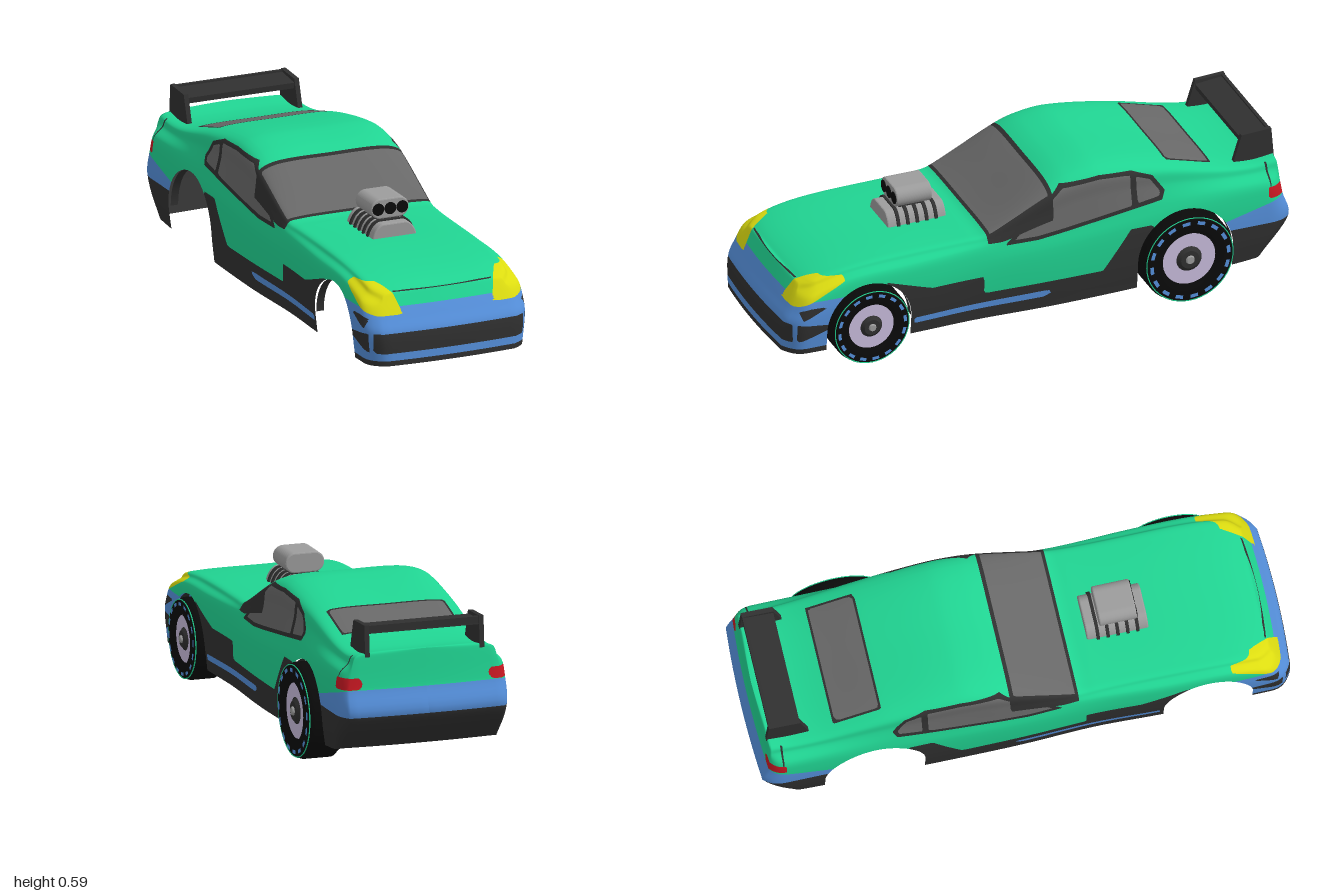
import * as THREE from 'three';

const GREEN = 0x20d492, BLUE = 0x5590dc, DARK = 0x303030, BLACK = 0x0a0a0a, GLASS = 0x686868;
const RED = 0xc81822, YELLOW = 0xdcdc10, METAL = 0x9c9c9c, RIM = 0xc8bcdc;
const paint = (color) => new THREE.MeshStandardMaterial({ color, side: THREE.DoubleSide });

function add(parent, name, geo, color, x = 0, y = 0, z = 0) {
  const m = new THREE.Mesh(geo, paint(color));
  m.name = name;
  m.position.set(x, y, z);
  parent.add(m);
  return m;
}

// smooth curve through [position, value] pairs in rising order
function spline(p) {
  const slope = (i) => {
    const a = p[Math.max(0, i - 1)], b = p[Math.min(p.length - 1, i + 1)];
    return (b[1] - a[1]) / (b[0] - a[0]);
  };
  return (x) => {
    x = Math.min(Math.max(x, p[0][0]), p[p.length - 1][0]);
    let i = 0;
    while (i < p.length - 2 && x > p[i + 1][0]) i++;
    const h = p[i + 1][0] - p[i][0], t = (x - p[i][0]) / h, t2 = t * t, t3 = t2 * t;
    return (2 * t3 - 3 * t2 + 1) * p[i][1] + (t3 - 2 * t2 + t) * h * slope(i)
      + (3 * t2 - 2 * t3) * p[i + 1][1] + (t3 - t2) * h * slope(i + 1);
  };
}

// signed distance to a (z, y) polygon on the car's sides, negative inside
function sidePoly(...pts) {
  return (x, y, z) => {
    let d = Infinity, s = 1;
    pts.forEach(([z1, y1], i) => {
      const [z2, y2] = pts[(i + 1) % pts.length], ez = z2 - z1, ey = y2 - y1;
      const t = Math.min(1, Math.max(0, ((z - z1) * ez + (y - y1) * ey) / (ez * ez + ey * ey)));
      d = Math.min(d, Math.hypot(z - z1 - t * ez, y - y1 - t * ey));
      if ((y1 > y) !== (y2 > y) && z < z1 + (y - y1) / ey * ez) s = -s;
    });
    return Math.max(s * d, .2 - x);
  };
}

const box = (x0, x1, y0, y1, z0, z1) => (x, y, z) => Math.max(x0 - x, x - x1, y0 - y, y - y1, z0 - z, z - z1);

// cut triangles along f(|x|, y, z) = 0
function split(tris, f) {
  const inside = [], outside = [];
  for (const t of tris) {
    const d = t.map((v) => f(Math.abs(v[0]), v[1], v[2]));
    if (d.every((k) => k < 0)) { inside.push(t); continue; }
    if (d.every((k) => k >= 0)) { outside.push(t); continue; }
    for (const [list, sign] of [[inside, -1], [outside, 1]]) {
      const p = [];
      for (let i = 0; i < 3; i++) {
        const j = (i + 1) % 3;
        if ((d[i] < 0) === (sign < 0)) p.push(t[i]);
        if ((d[i] < 0) !== (d[j] < 0)) {
          const k = d[i] / (d[i] - d[j]);
          p.push(t[i].map((c, n) => c + (t[j][n] - c) * k));
        }
      }
      for (let i = 1; i < p.length - 1; i++) list.push([p[0], p[i], p[i + 1]]);
    }
  }
  return [inside, outside];
}

function soup(tris) {
  const v = tris.flat(), g = new THREE.BufferGeometry();
  g.setAttribute('position', new THREE.Float32BufferAttribute(v.flatMap((p) => p.slice(0, 3)), 3));
  g.setAttribute('normal', new THREE.Float32BufferAttribute(v.flatMap((p) => p.slice(3)), 3));
  return g;
}

// body skin: cross-sections from nose to tail with closed ends
function bodyTriangles() {
  const top = spline([[-1, .478], [-.88, .468], [-.75, .483], [-.5, .55], [-.26, .59], [-.14, .578], [-.06, .548],
    [.19, .408], [.26, .4], [.6, .393], [.8, .375], [1, .337]]);
  const shoulder = spline([[-1, .4], [-.5, .4], [0, .37], [.5, .355], [.75, .345], [1, .285]]);
  const upper = spline([[-1, .278], [-.8, .283], [-.2, .298], [.1, .298], [.3, .288], [.9, .283], [1, .245]]);
  const width = (u) => .326 - .01 * Math.exp(-(((u - .25) / .2) ** 2))
    - (u > 0 ? .06 : .03) * Math.max(0, Math.abs(u) * 10 - 9) ** 3;
  const base = (u) => .07 + (u < 0 ? .035 : .008) * u * u;
  const nose = spline([[.1, .99], [.2, .985], [.25, .96], [.34, .91]]);
  const tail = spline([[.09, .87], [.24, .99], [.345, .968], [.478, .955]]);
  const cols = 112, body = 200, cap = 10, rows = body + 2 * cap, pos = [], idx = [];
  for (let i = 0; i <= rows; i++) {
    const u = Math.min(1, Math.max(-1, 1 - 2 * (i - cap) / body));
    const s = i < cap ? i / cap : i > rows - cap ? (rows - i) / cap : 1;
    const w = width(u), k = upper(u), t = top(u), h = shoulder(u), r = t - h;
    const half = [[w - .012, base(u)], [w, .19], [w, h - .06], [w - .012, h], [k, h + .45 * r],
      [k - .012, t - .2 * r], [k - .06, t - .05 * r], [0, t]];
    const ring = [...half, ...half.slice(0, -1).reverse().map(([x, y]) => [-x, y])];
    const curve = new THREE.CatmullRomCurve3(ring.map(([x, y]) => new THREE.Vector3(x, y, 0)));
    for (let j = 0; j <= cols; j++) {
      const p = curve.getPoint(j / cols), end = u > 0 ? nose(p.y) - 1 : 1 - tail(p.y);
      pos.push(p.x * s, p.y, u + end * u ** 8 + Math.sign(u) * .012 * (1 - s * s));
      if (i < rows && j < cols) {
        const a = i * (cols + 1) + j, b = a + cols + 1;
        idx.push(a, b, a + 1, b, b + 1, a + 1);
      }
    }
  }
  const g = new THREE.BufferGeometry();
  g.setAttribute('position', new THREE.Float32BufferAttribute(pos, 3));
  g.setIndex(idx);
  g.computeVertexNormals();
  const n = g.attributes.normal.array, tris = [];
  const vert = (q) => [...pos.slice(3 * q, 3 * q + 3), ...n.slice(3 * q, 3 * q + 3)];
  for (let i = 0; i < idx.length; i += 3) tris.push([vert(idx[i]), vert(idx[i + 1]), vert(idx[i + 2])]);
  return tris;
}

const WHEELS = [{ name: 'front', z: .67, y: .153, r: .152, arch: .166, out: .33 },
  { name: 'rear', z: -.575, y: .18, r: .178, arch: .187, out: .348 }];

function buildBody(car) {
  let rest = bodyTriangles();
  for (const w of WHEELS) rest = split(rest, (x, y, z) => Math.max(.15 - x, Math.hypot(z - w.z, Math.max(0, y - w.y)) - w.arch))[1];
  // each painted region is cut from what remains of the skin
  const cut = (name, color, f) => {
    const [inside, outside] = split(rest, f);
    rest = outside;
    add(car, name, soup(inside), color);
  };
  cut('headlights', YELLOW, (x, y, z) => Math.max(.2 + (.92 - z) * .5 - x, .26 + (.95 - z) * .45 - y, .26 - y, .76 - z, y - .36));

  // glass and its dark frames
  cut('windshield', GLASS, box(-1, .283, .385, 1, -.05, .18));
  cut('windshieldFrame', DARK, box(-1, .305, .372, 1, -.065, .192));
  const frame = sidePoly([.13, .357], [-.1, .547], [-.25, .556], [-.38, .546], [-.46, .515], [-.505, .45], [-.49, .418], [-.1, .368], [0, .357]);
  cut('doorWindows', GLASS, (x, y, z) => Math.max(frame(x, y, z) + .014, -.372 - z));
  cut('quarterWindows', GLASS, (x, y, z) => Math.max(frame(x, y, z) + .016, z + .395));
  cut('windowFrames', DARK, frame);
  cut('rearWindow', GLASS, box(-1, .222, .45, 1, -.705, -.54));
  cut('rearWindowFrame', DARK, box(-1, .23, .45, 1, -.713, -.532));

  // tail lights, seams and sills
  cut('tailLights', RED, box(.245, 1, .342, .385, -1.1, -.905));
  cut('tailSeams', DARK, box(.26, 1, .385, .465, -.918, -.91));
  cut('hoodSeam', DARK, box(-1, .2, .3335, .3365, .86, 1.1));
  cut('sillStripes', BLUE, sidePoly([.49, .115], [-.02, .118], [-.08, .145], [.49, .138]));
  cut('sills', DARK, sidePoly([.6, .31], [.42, .25], [.215, .25], [.215, .18], [-.25, .18], [-.36, .33], [-.45, .33], [-.45, 0], [.6, 0]));

  // bumpers
  cut('frontLip', DARK, box(-1, 1, 0, .097, .6, 1.1));
  cut('frontIntake', DARK, box(-1, .3, .125, .2, .9, 1.1));
  cut('lowerSlashes', DARK, sidePoly([.95, .125], [.83, .165], [.83, .185], [.95, .2]));
  cut('upperSlashes', DARK, sidePoly([.93, .215], [.83, .26], [.9, .262], [.94, .25]));
  cut('frontBumper', BLUE, (x, y, z) => Math.max(y - .287, .6 - z));
  cut('rearValance', DARK, (x, y, z) => Math.max(y - .242, z + .5));
  cut('rearBand', BLUE, (x, y, z) => Math.max(y - Math.min(.34, .285 - (z + .75) * .25), z + .6));
  add(car, 'bodyShell', soup(rest), GREEN);

  // inward lips of the wheel arches
  for (const w of WHEELS) for (const s of [-1, 1]) {
    const lip = new THREE.CylinderGeometry(w.arch, w.arch, .03, 40, 1, true, 0, Math.PI).rotateZ(Math.PI / 2);
    add(car, w.name + 'ArchLip', lip, DARK, s * .302, w.y, w.z);
  }
}

function buildEngine(car) {
  const extrude = (shape, depth, bevel = .005) => new THREE.ExtrudeGeometry(shape,
    { depth, bevelEnabled: bevel > 0, bevelSize: bevel, bevelThickness: bevel, bevelSegments: 2, curveSegments: 14 });
  const dome = (w, h) => new THREE.Shape().moveTo(-w, 0).lineTo(w, 0)
    .bezierCurveTo(w * .95, h * .6, w * .7, h, w * .5, h).lineTo(-w * .5, h).bezierCurveTo(-w * .7, h, -w * .95, h * .6, -w, 0);
  add(car, 'blowerCase', extrude(dome(.085, .058), .22), METAL, 0, .385, .275);
  for (let i = 0; i < 5; i++) add(car, 'blowerRib', extrude(dome(.097, .068), .012, 0), DARK, 0, .385, .305 + i * .037);
  add(car, 'scoopNeck', new THREE.BoxGeometry(.09, .04, .1), DARK, 0, .453, .39);
  const r = .033, oval = new THREE.Shape().absarc(.038, 0, r, -Math.PI / 2, Math.PI / 2).absarc(-.038, 0, r, Math.PI / 2, Math.PI * 1.5);
  add(car, 'airScoop', extrude(oval, .13), METAL, 0, .493, .325);
  for (const x of [-.048, 0, .048]) add(car, 'scoopIntake', new THREE.CylinderGeometry(.023, .023, .01, 24).rotateX(Math.PI / 2), BLACK, x, .493, .458);
}

function buildSpoiler(car) {
  // rotating the plate by -90 degrees turns its outline's first axis into +z
  const plate = new THREE.Shape().moveTo(-.8, .46).lineTo(-.835, .572).lineTo(-.952, .578).lineTo(-.962, .46);
  const geo = new THREE.ExtrudeGeometry(plate, { depth: .018, bevelEnabled: false }).rotateY(-Math.PI / 2);
  for (const x of [-.213, .231]) add(car, 'spoilerPlate', geo, DARK, x);
  const wing = add(car, 'spoilerWing', new THREE.BoxGeometry(.44, .022, .115), DARK, 0, .552, -.893);
  wing.rotation.x = .1;
  add(car, 'spoilerFlap', new THREE.BoxGeometry(.44, .03, .012), DARK, 0, .56, -.945);
}

function buildWheel({ name, z, y, r, out }) {
  const g = new THREE.Group(), W = out - .2;
  g.name = name + 'Wheel';
  g.position.set(.2, y, z);
  const profile = [[0, 0], [.9 * r, 0], [r, .02], [r, W - .025], [.96 * r, W - .005], [.9 * r, W], [.62 * r, W], [.59 * r, W - .014], [0, W - .014]];
  add(g, 'tire', new THREE.LatheGeometry(profile.map(([a, b]) => new THREE.Vector2(a, b)), 48).rotateZ(-Math.PI / 2), BLACK);
  add(g, 'rimFace', new THREE.RingGeometry(.28 * r, .58 * r, 48).rotateY(Math.PI / 2), RIM, W - .012);
  for (let i = 0; i < 16; i++) {
    const dash = new THREE.RingGeometry(.81 * r, .89 * r, 6, 1, i * Math.PI / 8, .2).rotateY(Math.PI / 2);
    add(g, 'tireDash', dash, BLUE, W + .001);
  }
  add(g, 'tireLine', new THREE.TorusGeometry(.955 * r, .0022, 6, 48).rotateY(Math.PI / 2), GREEN, W - .004);
  add(g, 'hub', new THREE.CylinderGeometry(.2 * r, .29 * r, .014, 24).rotateZ(-Math.PI / 2), DARK, W - .008);
  add(g, 'hubCap', new THREE.CylinderGeometry(.08 * r, .11 * r, .012, 16).rotateZ(-Math.PI / 2), METAL, W);
  return g;
}

export function createModel() {
  const model = new THREE.Group(), car = new THREE.Group();
  model.name = 'dragCar';
  car.name = 'body';
  car.position.x = -.023;
  buildBody(car);
  buildEngine(car);
  buildSpoiler(car);
  model.add(car, ...WHEELS.map(buildWheel)); // wheels on the left side only
  return model;
}
